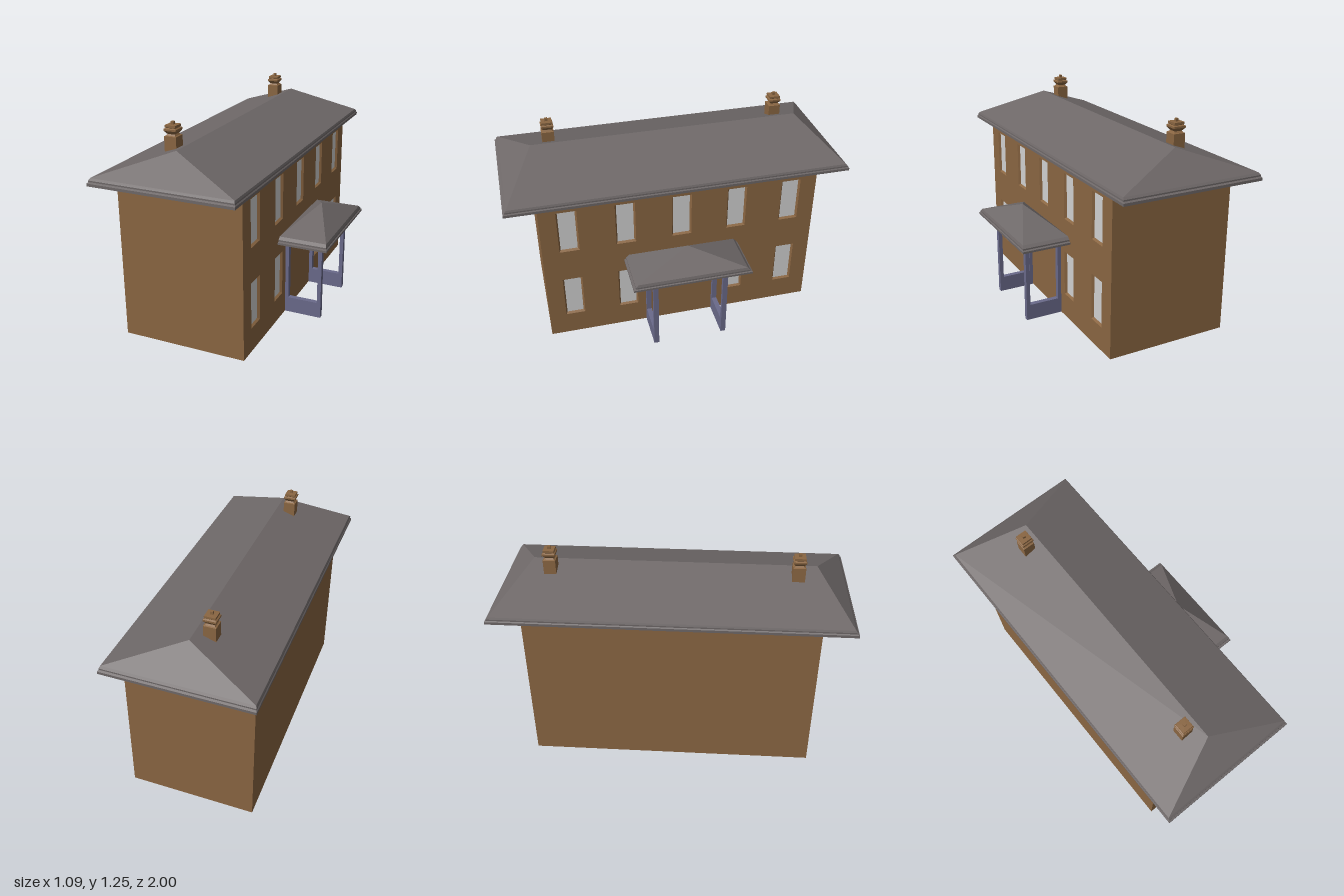
import * as THREE from 'three';

// Lofts rectangular rings [halfX, halfZ, y]; an upward profile faces outward, a downward one inward.
function rectLoft(rings) {
  const pos = [];
  const corners = ([hx, hz, y]) => [[-hx, y, hz], [hx, y, hz], [hx, y, -hz], [-hx, y, -hz]];
  for (let r = 0; r < rings.length - 1; r++) {
    const a = corners(rings[r]);
    const b = corners(rings[r + 1]);
    for (let i = 0; i < 4; i++) {
      const j = (i + 1) % 4;
      pos.push(...a[i], ...a[j], ...b[j], ...a[i], ...b[j], ...b[i]);
    }
  }
  const geo = new THREE.BufferGeometry();
  geo.setAttribute('position', new THREE.Float32BufferAttribute(pos, 3));
  geo.computeVertexNormals();
  return geo;
}

function rectPath(x0, x1, y0, y1, PathType = THREE.Path) {
  return new PathType([[x0, y0], [x1, y0], [x1, y1], [x0, y1]].map(([x, y]) => new THREE.Vector2(x, y)));
}

export function createModel() {
  const house = new THREE.Group();
  house.name = 'house';
  const material = (name, color) => {
    const m = new THREE.MeshStandardMaterial({ color });
    m.name = name;
    return m;
  };
  const brick = material('brown brick', 0x8a6642);
  const slate = material('grey slate', 0x6e6868);
  const paint = material('blue grey paint', 0x6a6a8a);
  const glass = material('pale glass', 0xd2d2d2);

  const add = (name, geo, mat, x = 0, y = 0, z = 0, parent = house) => {
    const mesh = new THREE.Mesh(geo, mat);
    mesh.name = name;
    mesh.position.set(x, y, z);
    parent.add(mesh);
    return mesh;
  };

  // Main block, with a thin front wall that holds the window openings
  const left = -0.485, front = 0.25, recess = 0.016, wallTop = 0.95;
  const depth = front - recess - left;
  add('body', new THREE.BoxGeometry(depth, wallTop, 1.64), brick, left + depth / 2, wallTop / 2, 0);

  const windows = [];
  for (const z of [-0.663, -0.332, 0, 0.332, 0.663]) {
    windows.push([z, 0.76]);
    if (z !== 0) windows.push([z, 0.281]);
  }
  const hw = 0.058, hh = 0.137, border = 0.009;
  const wall = rectPath(-0.82, 0.82, 0, wallTop, THREE.Shape);
  for (const [z, y] of windows) wall.holes.push(rectPath(z - hw, z + hw, y - hh, y + hh));
  const wallGeo = new THREE.ExtrudeGeometry(wall, { depth: recess, bevelEnabled: false });
  wallGeo.rotateY(Math.PI / 2);
  add('windowWall', wallGeo, brick, front - recess, 0, 0);

  // Splayed reveals and panes
  const revealGeo = rectLoft([[hh, hw, recess], [hh - border, hw - border, 0.002]]);
  revealGeo.rotateZ(-Math.PI / 2);
  const paneGeo = new THREE.BoxGeometry(0.004, 2 * (hh - border), 2 * (hw - border));
  for (const [z, y] of windows) {
    const win = new THREE.Group();
    win.name = 'window';
    win.position.set(front - recess, y, z);
    house.add(win);
    add('reveal', revealGeo, brick, 0, 0, 0, win);
    add('pane', paneGeo, glass, 0.001, 0, 0, win);
  }

  // Hipped main roof with stepped eaves
  add('mainRoof', rectLoft([
    [0, 0, 0.945], [0.42, 1, 0.945], [0.42, 1, 0.96], [0.415, 0.99, 0.966],
    [0.415, 0.99, 0.974], [0.41, 0.98, 0.985], [0, 0.8, 1.13],
  ]), slate, -0.125, 0, 0);

  // Chimneys: square stack, pinched neck, flared cap and small pot
  const chimneyGeo = rectLoft([
    [0.035, 1.0], [0.035, 1.174], [0.028, 1.177], [0.022, 1.185], [0.036, 1.203], [0.036, 1.213],
    [0.028, 1.218], [0.031, 1.221], [0.031, 1.233], [0.008, 1.234], [0.008, 1.25], [0, 1.25],
  ].map(([h, y]) => [h, h, y]));
  for (const z of [-0.69, 0.69]) add('chimney', chimneyGeo, brick, -0.203, 0, z);

  // Porch roof
  add('porchRoof', rectLoft([
    [0, 0, 0.49], [0.152, 0.35, 0.49], [0.152, 0.35, 0.502], [0.146, 0.338, 0.506],
    [0.146, 0.338, 0.515], [0.14, 0.322, 0.53], [0, 0, 0.645],
  ]), slate, 0.389, 0, 0);

  // Open porch side frames
  const frame = rectPath(front, 0.475, 0, 0.492, THREE.Shape);
  frame.holes.push(rectPath(0.271, 0.452, 0.095, 0.475));
  const frameGeo = new THREE.ExtrudeGeometry(frame, { depth: 0.03, bevelEnabled: false });
  frameGeo.translate(0, 0, -0.015);
  for (const z of [-0.21, 0.21]) add('porchFrame', frameGeo, paint, 0, 0, z);

  return house;
}
